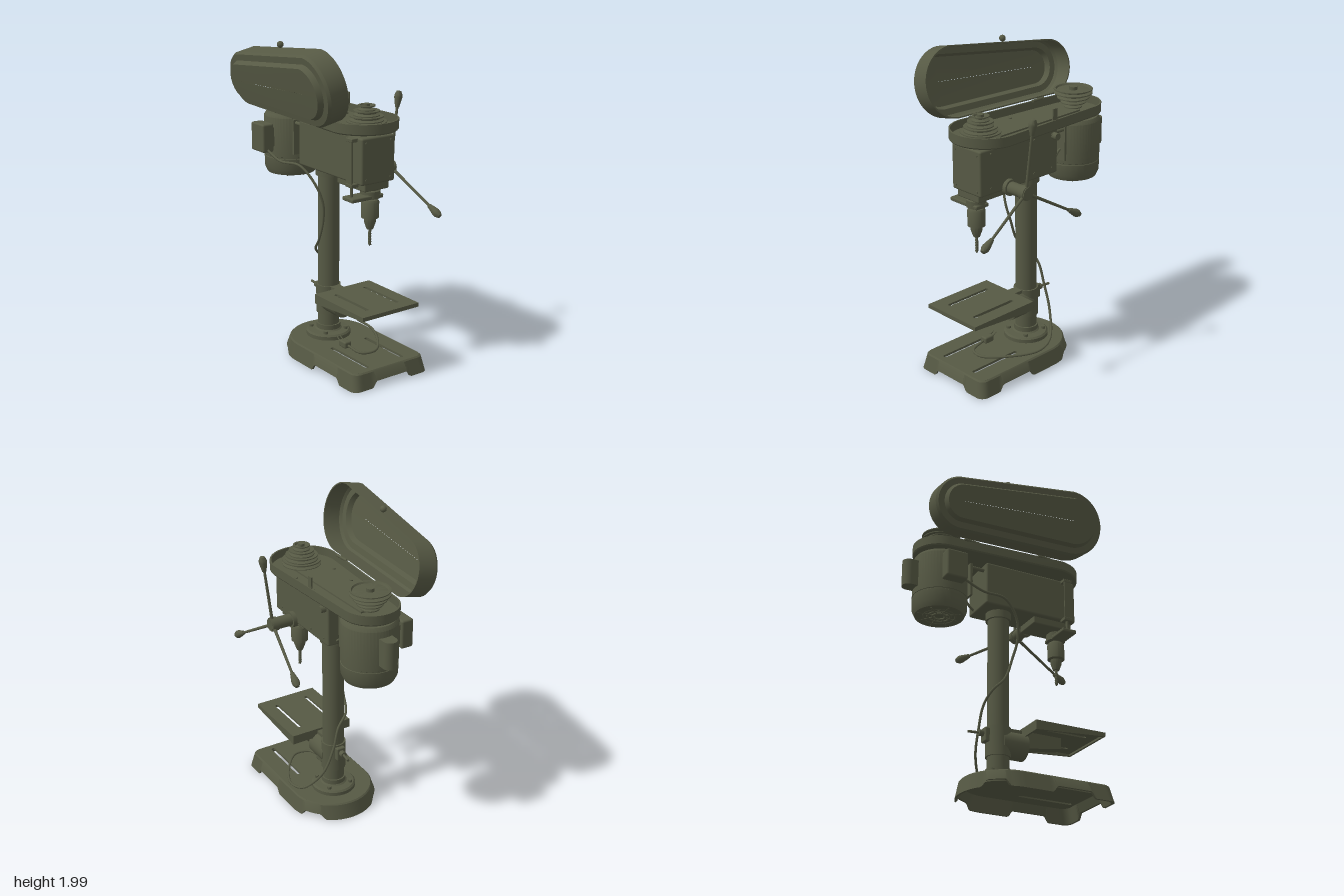
import * as THREE from 'three';
import { toCreasedNormals } from 'three/addons/utils/BufferGeometryUtils.js';
import { RoundedBoxGeometry } from 'three/addons/geometries/RoundedBoxGeometry.js';

const CX = 0.042; // centre line of the column, spindle and motor
const paint = new THREE.MeshStandardMaterial({ color: 0x565944, side: THREE.DoubleSide });
paint.name = 'olive paint';

export function createModel() {
  const model = new THREE.Group();
  model.name = 'drillPress';

  function add(name, geo, x = 0, y = 0, z = 0, parent = model) {
    const mesh = new THREE.Mesh(geo, paint);
    mesh.name = name;
    mesh.position.set(x, y, z);
    parent.add(mesh);
    return mesh;
  }
  const box = (name, x0, x1, y0, y1, z0, z1, r = 0) => add(name,
    r ? new RoundedBoxGeometry(x1 - x0, y1 - y0, z1 - z0, 3, r) : new THREE.BoxGeometry(x1 - x0, y1 - y0, z1 - z0),
    (x0 + x1) / 2, (y0 + y1) / 2, (z0 + z1) / 2);
  const lathe = (pts, n = 40) => toCreasedNormals(
    new THREE.LatheGeometry(pts.map(p => new THREE.Vector2(p[0], p[1])), n), 0.6);
  const rod = (name, r, a, b, n = 16) => {
    const va = new THREE.Vector3(...a), d = new THREE.Vector3(...b).sub(va);
    const m = add(name, new THREE.CylinderGeometry(r, r, d.length(), n));
    m.position.copy(va).addScaledVector(d, 0.5);
    m.quaternion.setFromUnitVectors(new THREE.Vector3(0, 1, 0), d.normalize());
    return m;
  };
  const tube = (name, pts, r) => add(name, new THREE.TubeGeometry(
    new THREE.CatmullRomCurve3(pts.map(p => new THREE.Vector3(...p))), 120, r, 8));

  // Skin joining closed rings of equal point count
  function loft(rings) {
    const pos = rings.flat(2), idx = [], n = rings[0].length;
    for (let i = 0; i < rings.length - 1; i++) for (let j = 0; j < n; j++) {
      const a = i * n + j, b = i * n + (j + 1) % n;
      idx.push(a, b, b + n, a, b + n, a + n);
    }
    const g = new THREE.BufferGeometry();
    g.setAttribute('position', new THREE.Float32BufferAttribute(pos, 3));
    g.setIndex(idx);
    return toCreasedNormals(g, 0.5);
  }
  const slot = (x, y0, y1, r) => {
    const p = new THREE.Path();
    p.absarc(x, y1, r, 0, Math.PI);
    p.absarc(x, y0, r, Math.PI, Math.PI * 2);
    p.closePath();
    return p;
  };
  // Horizontal plate from a shape in x and z, with its top at y
  const plate = (name, shape, top, thick) => {
    const g = new THREE.ExtrudeGeometry(shape, { depth: thick, bevelEnabled: false, curveSegments: 32 });
    return add(name, toCreasedNormals(g.rotateX(Math.PI / 2), 0.5), 0, top, 0);
  };

  // ---- Base: hollow casting with notched skirt, round at the back
  const baseShape = d => {
    const s = new THREE.Shape(), w = 0.285 - d, zf = 0.64 - d, c = 0.05;
    s.moveTo(CX - w, 0.03);
    s.absarc(CX, 0.03, w, Math.PI, Math.PI * 2);
    s.lineTo(CX + w, zf - c);
    s.absarc(CX + w - c, zf - c, c, 0, Math.PI / 2);
    s.absarc(CX - w + c, zf - c, c, Math.PI / 2, Math.PI);
    s.closePath();
    return s;
  };
  const notch = (t, a, b) => 0.04 * THREE.MathUtils.clamp(Math.min(t - a, b - t) / 0.025, 0, 1);
  const footY = (x, z) => z > 0.6 ? notch(x, -0.1, 0.185) : Math.max(notch(z, 0.21, 0.49), notch(z, -0.2, -0.06));
  const baseRing = (d, yf) => baseShape(d).getSpacedPoints(240).slice(0, -1).map(p => [p.x, yf(p.x, p.y), p.y]);
  add('baseSkirt', loft([baseRing(0.04, () => 0.09), baseRing(0.015, footY), baseRing(0, footY),
    baseRing(0.02, () => 0.097), baseRing(0.028, () => 0.105)]));
  const top = baseShape(0.028);
  [-0.09, 0.175].forEach(x => top.holes.push(slot(x, 0.22, 0.56, 0.013)));
  plate('baseTop', top, 0.105, 0.015);
  add('baseUnderDisc', new THREE.CylinderGeometry(0.14, 0.14, 0.02, 40), CX, 0.08, 0);

  // ---- Column with foot flange and bolts
  add('columnFlange', lathe([[0, 0.1], [0.14, 0.1], [0.14, 0.128], [0.13, 0.138], [0.085, 0.142], [0.076, 0.15],
    [0.076, 0.18], [0.066, 0.18]]), CX, 0, -0.005);
  add('column', new THREE.CylinderGeometry(0.067, 0.067, 1.1, 48), CX, 0.68, -0.005);
  for (let i = 0; i < 4; i++) {
    const a = Math.PI / 4 + i * Math.PI / 2;
    add('flangeBolt', new THREE.CylinderGeometry(0.014, 0.014, 0.02, 6), CX + 0.11 * Math.cos(a), 0.146, 0.11 * Math.sin(a) - 0.005);
  }

  // ---- Work table, bracket and clamp
  const rect = (d, yf) => [[-1, 0.14 + d], [1, 0.14 + d], [1, 0.62 - d], [-1, 0.62 - d]]
    .map(([s, z]) => [CX + s * (0.21 - d), yf(z), z]);
  const under = z => 0.395 + (z - 0.14) * 0.073;
  add('tableRim', loft([rect(0.015, () => 0.445), rect(0.015, under), rect(0, under), rect(0, () => 0.455)]));
  const tableTop = new THREE.Shape(rect(0, () => 0).map(p => new THREE.Vector2(p[0], p[2])));
  [-0.07, 0.154].forEach(x => tableTop.holes.push(slot(x, 0.23, 0.53, 0.012)));
  plate('tableTop', tableTop, 0.455, 0.014);
  const armSide = new THREE.Shape([[0.05, 0.32], [0.14, 0.33], [0.41, 0.37], [0.41, 0.442], [0.05, 0.442]]
    .map(p => new THREE.Vector2(...p)));
  add('tableArm', new THREE.ExtrudeGeometry(armSide, { depth: 0.066, bevelEnabled: false }).rotateY(-Math.PI / 2), CX + 0.033);
  rod('tablePivot', 0.083, [CX, 0.345, 0], [CX, 0.345, 0.165], 40);
  add('tableCollar', lathe([[0.067, 0.255], [0.077, 0.255], [0.077, 0.44], [0.067, 0.44]]), CX, 0, -0.005);
  box('clampLug', CX - 0.03, CX + 0.03, 0.34, 0.43, -0.105, -0.06, 0.008);
  rod('clampScrew', 0.02, [CX, 0.395, -0.09], [CX, 0.395, -0.135]);
  rod('clampLever', 0.008, [CX, 0.395, -0.12], [CX + 0.01, 0.395, -0.2]);

  // ---- Head casting
  box('head', CX - 0.122, CX + 0.122, 1.2, 1.48, -0.15, 0.482, 0.012);
  box('headLowerBlock', CX - 0.09, CX + 0.09, 1.155, 1.21, 0.2, 0.47, 0.008);
  add('columnSocket', new THREE.CylinderGeometry(0.08, 0.08, 0.07, 40), CX, 1.185, -0.005);
  for (const x of [-0.09, 0.09]) for (const y of [1.23, 1.45])
    rod('headScrew', 0.008, [CX + x, y, 0.48], [CX + x, y, 0.487], 10);
  for (const z of [0.4, 0.05, -0.1]) for (const y of [1.24, 1.45])
    rod('sideScrew', 0.007, [CX + 0.12, y, z], [CX + 0.127, y, z], 10);

  // ---- Depth gauge on the right side of the head
  rod('depthRod', 0.009, [-0.1, 1.11, 0.41], [-0.1, 1.47, 0.41]);
  box('depthScale', -0.12, -0.112, 1.2, 1.46, 0.385, 0.435);
  for (const y of [1.185, 1.455]) box('depthBracket', -0.122, -0.07, y, y + 0.022, 0.38, 0.44, 0.004);
  box('depthStopArm', -0.13, CX + 0.06, 1.1, 1.125, 0.36, 0.46, 0.008);

  // ---- Quill, chuck and drill bit
  add('chuck', lathe([[0, 0.905], [0.02, 0.905], [0.036, 0.95], [0.036, 0.972], [0.054, 0.978], [0.054, 1.075],
    [0.046, 1.088], [0.03, 1.09], [0.03, 1.1], [0.06, 1.1], [0.06, 1.145], [0.05, 1.15], [0.05, 1.2], [0, 1.2]]), CX, 0, 0.407);
  add('drillBit', lathe([[0, 0.795], [0.009, 0.81], [0.009, 0.91]], 12), CX, 0, 0.407);
  const flute = [];
  for (let i = 0; i <= 36; i++) flute.push([CX + 0.007 * Math.cos(i * 0.8), 0.805 + i * 0.0022, 0.407 + 0.007 * Math.sin(i * 0.8)]);
  tube('drillFlute', flute, 0.004);

  // ---- Feed hub with three handles
  rod('feedHub', 0.038, [0.15, 1.215, 0.262], [0.33, 1.215, 0.262], 32);
  rod('feedHubCollar', 0.05, [0.16, 1.215, 0.262], [0.19, 1.215, 0.262], 32);
  rod('feedHubEnd', 0.044, [0.285, 1.215, 0.262], [0.325, 1.215, 0.262], 32);
  const grip = lathe([[0, 0.362], [0.013, 0.365], [0.025, 0.425], [0.024, 0.44], [0.014, 0.462], [0, 0.464]], 20);
  for (let i = 0; i < 3; i++) {
    const handle = new THREE.Group();
    handle.name = 'feedHandle';
    handle.position.set(0.31, 1.215, 0.262);
    handle.rotation.set(i * Math.PI * 2 / 3, 0, -0.125, 'XYZ');
    add('handleArm', new THREE.CylinderGeometry(0.008, 0.01, 0.4, 12), 0, 0.2, 0, handle);
    add('handleGrip', grip, 0, 0, 0, handle);
    model.add(handle);
  }

  // ---- Motor, terminal boxes and mount
  add('motor', lathe([[0, 1.105], [0.06, 1.1], [0.13, 1.09], [0.152, 1.095], [0.168, 1.13], [0.17, 1.2], [0.167, 1.202],
    [0.167, 1.21], [0.17, 1.212], [0.17, 1.46], [0.155, 1.482], [0, 1.482]], 56), CX, 0, -0.41);
  for (const r of [0.04, 0.07, 0.1, 0.13])
    add('motorVentRing', new THREE.TorusGeometry(r, 0.006, 6, 40).rotateX(Math.PI / 2), CX, 1.096, -0.41);
  for (let i = 0; i < 8; i++) {
    const c = Math.cos(i * Math.PI / 4), s = Math.sin(i * Math.PI / 4);
    rod('motorVentSpoke', 0.005, [CX + 0.03 * c, 1.097, -0.41 + 0.03 * s], [CX + 0.14 * c, 1.092, -0.41 + 0.14 * s], 6);
  }
  rod('motorShaft', 0.025, [CX, 1.47, -0.41], [CX, 1.66, -0.41]);
  rod('capacitorCover', 0.043, [CX, 1.25, -0.618], [CX, 1.42, -0.618], 32);
  box('capacitorBase', CX - 0.043, CX + 0.043, 1.25, 1.42, -0.618, -0.55);
  box('switchBox', -0.215, -0.135, 1.25, 1.43, -0.48, -0.34, 0.012);
  box('switchBoxNeck', -0.15, -0.1, 1.28, 1.4, -0.46, -0.36);
  box('motorMountPlate', CX - 0.1, CX + 0.1, 1.24, 1.46, -0.25, -0.235);
  for (const x of [-0.08, 0.08]) rod('motorMountRod', 0.012, [CX + x, 1.44, -0.13], [CX + x, 1.44, -0.25]);
  rod('tensionKnob', 0.022, [0.155, 1.44, -0.115], [0.2, 1.44, -0.115], 20);

  // ---- Belt case: tapered rounded outline, offset and lofted into trays
  const outline = (d, f, r, lift) => {
    const pts = [], R1 = Math.max(0.215 - d, 0.0005), R2 = Math.max(0.172 - d, 0.0005);
    for (let i = 0; i < 64; i++) {
      const a = Math.PI / 2 + (i + 0.5) * Math.PI / 32, front = i < 32, R = front ? R1 : R2;
      pts.push([(front ? f : r) + R * Math.cos(a), (lift ? (front ? 0.215 : 0.172) : 0) + R * Math.sin(a)]);
    }
    return pts;
  };
  const tray = (profile, lift) => loft(profile.map(([d, z]) => outline(d, -0.325, 0.413, lift).map(p => [p[0], p[1], z])));
  // In the tray x runs to the back, so a quarter turn lays it flat along z
  const pan = add('beltCasePan', tray([[0.3, 0], [0.006, 0], [0, 0.008], [0, 0.065], [0.01, 0.065], [0.01, 0.014], [0.3, 0.014]], false), CX, 1.5, 0);
  pan.rotation.set(-Math.PI / 2, 0, Math.PI / 2);
  const lid = add('beltCaseLid', tray([[0.008, 0], [0, 0], [0, -0.115], [0.012, -0.132], [0.05, -0.134], [0.066, -0.165], [0.3, -0.168]], true), -0.152, 1.573, 0);
  lid.rotation.set(-0.215, THREE.MathUtils.degToRad(87), 0, 'YXZ');
  add('lidKnob', new THREE.SphereGeometry(0.02, 16, 12), -0.25, 1.965, -0.09);
  for (const z of [0.22, -0.28]) rod('lidHinge', 0.009, [-0.15 - z * 0.054, 1.565, z - 0.05], [-0.145 - z * 0.054, 1.565, z + 0.05], 12);
  box('lidCatch', 0.222, 0.23, 1.55, 1.635, -0.075, -0.04);
  const ridge = new THREE.Shape([[-0.06, -0.41], [0.06, -0.41], [0.088, 0.365], [-0.088, 0.365]].map(p => new THREE.Vector2(CX + p[0], p[1])));
  plate('panFloorRidge', ridge, 1.524, 0.012);
  for (const x of [-0.09, 0.175]) for (const z of [0, 0.2])
    add('panScrew', new THREE.CylinderGeometry(0.01, 0.01, 0.008, 12), x, 1.517, z);
  box('panMount', CX - 0.07, CX + 0.07, 1.475, 1.505, 0.2, 0.42);

  // ---- Stepped pulleys with a groove in each step
  const pulley = (radii, y0, h) => {
    const pts = [[0, y0]];
    radii.forEach((r, i) => {
      const y = y0 + i * h;
      pts.push([r, y], [r, y + h * 0.2], [r - 0.02, y + h * 0.45], [r - 0.02, y + h * 0.55], [r, y + h * 0.8], [r, y + h]);
    });
    const end = y0 + radii.length * h;
    return lathe([...pts, [radii.at(-1) - 0.012, end], [radii.at(-1) - 0.018, end - 0.01], [0.02, end - 0.01], [0.02, end + 0.008], [0, end + 0.008]], 48);
  };
  add('spindlePulley', pulley([0.12, 0.1, 0.078, 0.052], 1.522, 0.031), CX, 0, 0.365);
  add('motorPulley', pulley([0.055, 0.078, 0.1, 0.12], 1.53, 0.03), CX, 0, -0.41);

  // ---- Power cord and plug
  tube('powerCord', [[-0.18, 1.27, -0.36], [-0.17, 1.22, -0.22], [-0.14, 1.22, -0.05], [-0.1, 1.12, 0.05], [-0.06, 1, 0.075], [-0.04, 0.88, 0.05],
    [-0.037, 0.74, 0], [-0.01, 0.66, -0.07], [0.06, 0.58, -0.095], [0.1, 0.45, -0.105], [0.17, 0.28, -0.09], [0.26, 0.15, 0],
    [0.285, 0.122, 0.12], [0.2, 0.116, 0.3], [0.08, 0.116, 0.42], [-0.01, 0.118, 0.4], [-0.03, 0.135, 0.3]], 0.008);
  tube('motorCord', [[CX + 0.06, 1.22, -0.14], [CX + 0.06, 1.25, -0.18], [CX + 0.06, 1.3, -0.22], [CX + 0.06, 1.32, -0.26]], 0.008);
  box('plug', -0.055, -0.005, 0.118, 0.16, 0.23, 0.3, 0.01);
  for (const x of [-0.042, -0.018]) rod('plugPin', 0.004, [x, 0.145, 0.24], [x, 0.165, 0.2], 8);

  return model;
}
